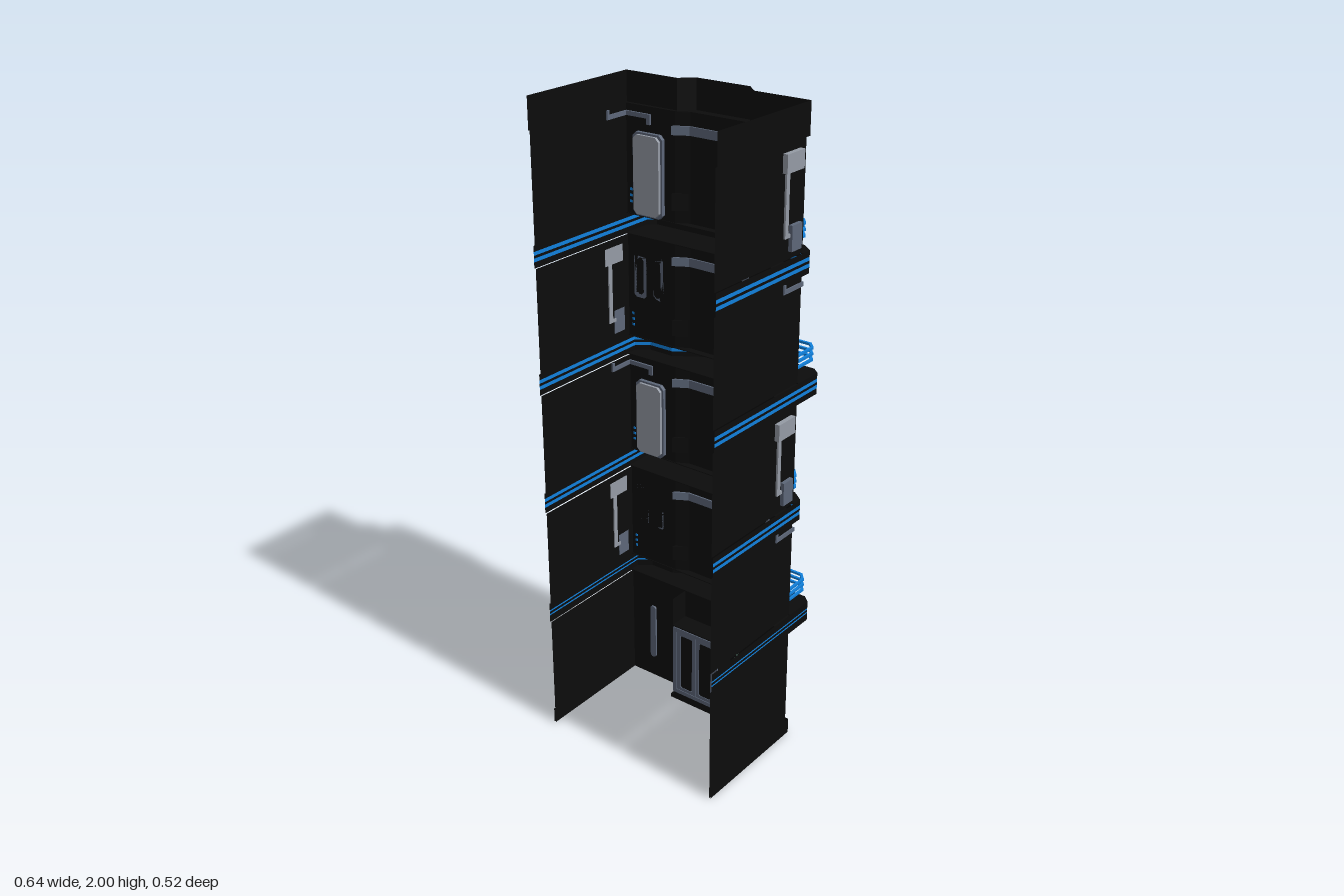
import * as THREE from 'three';

const mat = (name, color) => new THREE.MeshStandardMaterial({ name, color, side: THREE.DoubleSide });

export function createModel() {
  const M = {
    black: mat('black wall', 0x0c0c0c),
    mid: mat('slate frame', 0x5d6779),
    light: mat('light panel', 0x959ba5),
    blue: mat('blue trim', 0x1080dc),
    mint: mat('mint lamp', 0x84bfa8),
  };
  const root = new THREE.Group();

  const add = (parent, name, geo, m, x = 0, y = 0, z = 0) => {
    const mesh = new THREE.Mesh(geo, m);
    mesh.name = name;
    mesh.position.set(x, y, z);
    parent.add(mesh);
    return mesh;
  };
  // box given by its limits on each axis
  const box = (parent, name, m, [x0, x1], [y0, y1], [z0, z1]) =>
    add(parent, name, new THREE.BoxGeometry(Math.abs(x1 - x0), Math.abs(y1 - y0), Math.abs(z1 - z0)), m,
      (x0 + x1) / 2, (y0 + y1) / 2, (z0 + z1) / 2);
  // vertical sheet standing on a plan path of [x, z] points
  const ribbon = (parent, name, m, path, y0, y1) => {
    const v = [];
    for (let i = 0; i + 1 < path.length; i++) {
      const [a, b] = path[i], [c, d] = path[i + 1];
      v.push(a, y0, b, a, y1, b, c, y1, d, a, y0, b, c, y1, d, c, y0, d);
    }
    const g = new THREE.BufferGeometry();
    g.setAttribute('position', new THREE.Float32BufferAttribute(v, 3));
    g.computeVertexNormals();
    return add(parent, name, g, m);
  };
  // horizontal slab with a plan outline of [x, z] points
  const slab = (parent, name, m, pts, y0, y1) => {
    const s = new THREE.Shape(pts.map(([x, z]) => new THREE.Vector2(x, -z)));
    const g = new THREE.ExtrudeGeometry(s, { depth: y1 - y0, bevelEnabled: false });
    g.rotateX(-Math.PI / 2);
    return add(parent, name, g, m, 0, y0, 0);
  };
  const octagon = (w, h, c, y = 0) => [
    [-w / 2 + c, y], [w / 2 - c, y], [w / 2, y + c], [w / 2, y + h - c],
    [w / 2 - c, y + h], [-w / 2 + c, y + h], [-w / 2, y + h - c], [-w / 2, y + c],
  ].map(([a, b]) => new THREE.Vector2(a, b));
  // upright chamfered plate with optional hole inset by t
  const plate = (parent, name, m, x, y, z, w, h, c, depth, t = 0) => {
    const s = new THREE.Shape(octagon(w, h, c));
    if (t) s.holes.push(new THREE.Path(octagon(w - 2 * t, h - 2 * t, c, t)));
    return add(parent, name, new THREE.ExtrudeGeometry(s, { depth, bevelEnabled: false }), m, x, y, z);
  };
  // U-shaped plan with a bulge in the middle of the facade
  const bulge = (x, z, out) => [
    [-x, 0.26], [-x, z], [-0.13, z], [-0.09, z - out], [0.09, z - out], [0.13, z], [x, z], [x, 0.26]];

  // ground floor: walls, plinth, recessed entrance
  const ground = new THREE.Group();
  ground.name = 'groundFloor';
  root.add(ground);
  for (const s of [-1, 1]) {
    ribbon(ground, 'groundWall', M.black, [[s * 0.305, 0.26], [s * 0.305, -0.14], [s * 0.09, -0.14], [s * 0.09, -0.075]], 0, 0.377);
    ribbon(ground, 'plinth', M.black, [[s * 0.31, 0.26], [s * 0.31, -0.15], [s * 0.1, -0.15], [s * 0.1, -0.14]], 0, 0.05);
    plate(ground, 'slitWindow', M.mid, s * 0.22, 0.075, -0.146, 0.022, 0.195, 0.006, 0.012);
    for (const y of [0.19, 0.24]) box(ground, 'entranceLamp', M.mint, [s * 0.102, s * 0.122], [y, y + 0.038], [-0.155, -0.14]);
  }
  ribbon(ground, 'wallOverEntrance', M.black, [[-0.09, -0.14], [0.09, -0.14]], 0.28, 0.377);
  slab(ground, 'entranceCeiling', M.black, [[-0.09, -0.14], [0.09, -0.14], [0.09, -0.075], [-0.09, -0.075]], 0.276, 0.28);
  box(ground, 'lowerStep', M.black, [-0.1, 0.1], [0, 0.012], [-0.175, -0.075]);
  box(ground, 'upperStep', M.black, [-0.09, 0.09], [0.012, 0.028], [-0.155, -0.075]);
  box(ground, 'stepNosing', M.light, [-0.1, 0.1], [0.007, 0.014], [-0.177, -0.168]);
  box(ground, 'stepNosing', M.light, [-0.09, 0.09], [0.023, 0.03], [-0.157, -0.148]);
  plate(ground, 'doorFrame', M.mid, 0, 0.028, -0.082, 0.176, 0.248, 0.002, 0.01, 0.014);
  for (const s of [-1, 1]) {
    plate(ground, 'doorLeaf', M.mid, s * 0.037, 0.04, -0.08, 0.072, 0.224, 0.002, 0.006, 0.013);
    plate(ground, 'doorGlass', M.black, s * 0.037, 0.05, -0.078, 0.05, 0.204, 0.01, 0.002);
    box(ground, 'doorHandle', M.light, [s * 0.006, s * 0.01], [0.11, 0.19], [-0.086, -0.08]);
  }
  box(ground, 'meterBox', M.mid, [0.125, 0.16], [0.015, 0.085], [-0.165, -0.14]);
  box(ground, 'meterPipe', M.mid, [0.138, 0.144], [0.085, 0.37], [-0.15, -0.142]);

  // one upper storey, drawn with its door on -x and mirrored by s = -1
  const storey = (c, top, s, stripe) => {
    const g = new THREE.Group();
    g.name = 'upperFloor';
    root.add(g);
    const X = (pts) => pts.map(([x, z]) => [s * x, z]);
    const edge = X([[-0.31, -0.235], [-0.287, -0.255], [0.105, -0.255], [0.19, -0.2], [0.272, -0.2], [0.31, -0.17]]);
    const around = [[-0.31 * s, 0.26], ...edge, [0.31 * s, 0.26]];

    // hollow balcony band with two inlaid stripes
    const a = 0.004, b = a + stripe, h = 0.033;
    for (const [y0, y1, m] of [[-h, -b, M.black], [-b, -a, M.blue], [-a, a, M.black], [a, b, M.blue], [b, h, M.black]])
      ribbon(g, m === M.blue ? 'bandStripe' : 'balconyBand', m, around, c + y0, c + y1);
    const deck = [[-0.31 * s, -0.138], ...edge, [0.31 * s, -0.138]];
    slab(g, 'balconyFloor', M.black, deck, c + h - 0.003, c + h);
    slab(g, 'balconyUnderside', M.black, deck, c - h, c - h + 0.003);

    // three rails following the balcony edge
    const rail = X([[-0.29, -0.14], [-0.29, -0.233], [-0.27, -0.255], [0.107, -0.255], [0.192, -0.196], [0.268, -0.196], [0.288, -0.172], [0.288, -0.14]]);
    for (const dy of [0.069, 0.087, 0.105])
      for (let i = 0; i + 1 < rail.length; i++) {
        const [x0, z0] = rail[i], [x1, z1] = rail[i + 1];
        const bar = add(g, 'balconyRail', new THREE.BoxGeometry(Math.hypot(x1 - x0, z1 - z0) + 0.004, 0.007, 0.008), M.blue,
          (x0 + x1) / 2, c + dy, (z0 + z1) / 2);
        bar.rotation.y = -Math.atan2(z1 - z0, x1 - x0);
      }

    // walls and the bay window
    ribbon(g, 'upperWall', M.black, bulge(0.305, -0.14, 0.02), c + h, top);
    const bay = (out, inn) => [[-0.135, -0.13], [-0.128, -0.148], [-0.095, out], [0.095, out], [0.128, -0.148], [0.135, -0.13], [0.09, inn], [-0.09, inn]];
    slab(g, 'bayAwning', M.mid, bay(-0.176, -0.155), c + 0.288, c + 0.314);
    ribbon(g, 'bayFrame', M.mid, [[-0.127, -0.145], [-0.092, -0.166], [0.092, -0.166], [0.127, -0.145]], c + 0.24, c + 0.288);
    slab(g, 'baySill', M.black, bay(-0.176, -0.161), c + 0.07, c + 0.12);

    // balcony door with lamp, and the paired narrow windows
    plate(g, 'balconyDoorFrame', M.mid, -0.22 * s, c + 0.036, -0.15, 0.106, 0.244, 0.012, 0.022, 0.006);
    plate(g, 'balconyDoor', M.light, -0.22 * s, c + 0.042, -0.153, 0.092, 0.232, 0.012, 0.033);
    box(g, 'doorLamp', M.mint, [-0.245 * s, -0.2 * s], [c + 0.292, c + 0.306], [-0.165, -0.145]);
    for (const x of [0.197, 0.26]) {
      plate(g, 'narrowWindowFrame', M.mid, x * s, c + 0.16, -0.149, 0.046, 0.136, 0.008, 0.009, 0.011);
      plate(g, 'narrowWindowGlass', M.black, x * s, c + 0.168, -0.144, 0.032, 0.12, 0.006, 0.003);
    }

    // lamp conduit wrapping the corner on the door side
    box(g, 'conduit', M.mid, [-0.309 * s, -0.215 * s], [c + 0.32, c + 0.333], [-0.146, -0.134]);
    box(g, 'conduit', M.mid, [-0.309 * s, -0.3 * s], [c + 0.32, c + 0.333], [-0.146, -0.06]);
    box(g, 'conduit', M.mid, [-0.309 * s, -0.3 * s], [c + 0.32, c + 0.347], [-0.062, -0.052]);
    box(g, 'conduit', M.mid, [-0.228 * s, -0.215 * s], [c + 0.303, c + 0.333], [-0.148, -0.134]);

    // cooling unit on the other side wall
    box(g, 'coolingUnit', M.light, [0.304 * s, 0.32 * s], [c + 0.275, c + 0.327], [-0.113, -0.033]);
    box(g, 'coolingPipe', M.light, [0.301 * s, 0.311 * s], [c + 0.095, c + 0.275], [-0.06, -0.045]);
    box(g, 'coolingPipe', M.light, [0.301 * s, 0.311 * s], [c + 0.095, c + 0.105], [-0.075, -0.045]);
    box(g, 'coolingBox', M.mid, [0.304 * s, 0.317 * s], [c + 0.055, c + 0.128], [-0.117, -0.07]);
  };
  const levels = [0.408, 0.79, 1.173, 1.556];
  levels.forEach((c, i) => storey(c, i < 3 ? levels[i + 1] - 0.033 : 1.91, i % 2 ? 1 : -1, i ? 0.011 : 0.005));

  // parapet with its soffit
  ribbon(root, 'parapet', M.black, bulge(0.31, -0.15, 0.037), 1.907, 2);
  const soffit = [...bulge(0.31, -0.15, 0.037).slice(1, -1), ...bulge(0.305, -0.14, 0.02).slice(1, -1).reverse()];
  slab(root, 'parapetSoffit', M.black, soffit, 1.907, 1.91);
  return root;
}
